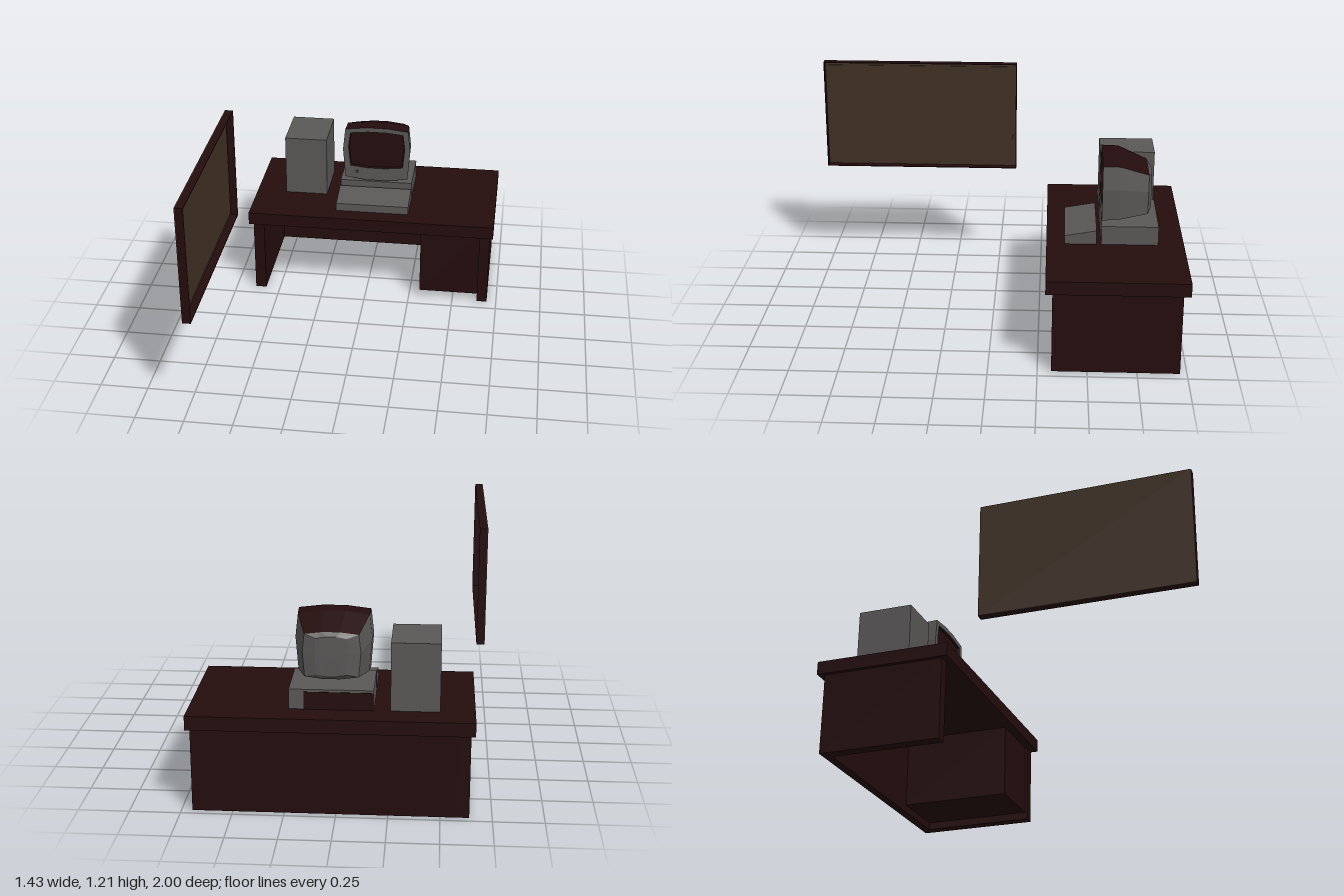
import * as THREE from 'three';

const mat = (name, color) => {
  const m = new THREE.MeshStandardMaterial({ color });
  m.name = name;
  return m;
};

export function createModel() {
  const root = new THREE.Group();
  const wood = mat('dark red wood', 0x240c0d);
  const grey = mat('computer grey', 0x5a5857);
  const brown = mat('board brown', 0x3f3024);

  const group = (name) => {
    const g = new THREE.Group();
    g.name = name;
    root.add(g);
    return g;
  };
  const add = (parent, name, geo, material) => {
    const m = new THREE.Mesh(geo, material);
    m.name = name;
    parent.add(m);
    return m;
  };
  // Box given by its extents on each axis
  const box = (parent, name, material, [x0, x1], [y0, y1], [z0, z1]) => {
    const m = add(parent, name, new THREE.BoxGeometry(x1 - x0, y1 - y0, z1 - z0), material);
    m.position.set((x0 + x1) / 2, (y0 + y1) / 2, (z0 + z1) / 2);
    return m;
  };

  // Desk: top, side panels, back panel and raised drawer pedestal
  const desk = group('desk');
  box(desk, 'deskTop', wood, [-0.66, 0.715], [0.43, 0.5], [-1, -0.285]);
  box(desk, 'rightSidePanel', wood, [-0.64, -0.58], [0, 0.43], [-0.965, -0.32]);
  box(desk, 'leftSidePanel', wood, [0.64, 0.697], [0, 0.43], [-0.965, -0.32]);
  box(desk, 'backPanel', wood, [-0.58, 0.64], [0, 0.43], [-0.965, -0.92]);
  box(desk, 'drawerPedestal', wood, [0.31, 0.64], [0.04, 0.43], [-0.92, -0.335]);

  // Wall board: brown panel inside a thin dark surround
  const board = group('wallBoard');
  const by = [0.586, 1.21], bz = [-0.1, 1], bx = [-0.72, -0.677], t = 0.005;
  box(board, 'boardPanel', brown, [bx[0], bx[0] + 0.004], by, bz);
  box(board, 'boardInset', brown, [bx[0] + 0.004, bx[0] + 0.008],
    [by[0] + 0.025, by[1] - 0.025], [bz[0] + 0.022, bz[1] - 0.022]);
  for (const y of [by[0], by[1] - t]) box(board, 'boardRail', wood, bx, [y, y + t], bz);
  for (const z of [bz[0], bz[1] - t]) box(board, 'boardStile', wood, bx, by, [z, z + t]);

  // Tower and desktop case
  box(root, 'tower', grey, [-0.492, -0.255], [0.5, 0.842], [-0.865, -0.57]);
  const unit = group('desktopCase');
  box(unit, 'caseBody', grey, [-0.175, 0.232], [0.5, 0.6], [-0.865, -0.57]);
  box(unit, 'caseBackPlate', wood, [-0.174, 0.16], [0.5, 0.588], [-0.868, -0.865]);

  // Keyboard: wedge extruded across x
  const wedge = new THREE.Shape([[0.38, 0.5], [0.545, 0.5], [0.545, 0.575], [0.38, 0.545]]
    .map(([x, y]) => new THREE.Vector2(x, y)));
  const keyGeo = new THREE.ExtrudeGeometry(wedge, { depth: 0.407, bevelEnabled: false });
  keyGeo.rotateY(Math.PI / 2);
  keyGeo.translate(-0.175, 0, 0);
  add(root, 'keyboard', keyGeo, grey);

  // Monitor cross-section: bowed rectangle, clockwise from the front
  const outline = [[-0.3, 1], [0.3, 1], [0.93, 0.91], [1, 0.15], [0.93, -0.9],
    [0.3, -1], [-0.3, -1], [-0.93, -0.9], [-1, 0.15], [-0.93, 0.91]];
  const ring = (cy, hw, hh, z) => outline.map(([u, v]) => new THREE.Vector3(0.03 + u * hw, cy + v * hh, z));
  // Skin between neighbouring rings, limited to the chosen sides of the outline
  const skin = (rings, sides) => {
    const pos = [];
    for (let r = 0; r < rings.length - 1; r++) {
      for (const i of sides) {
        const j = (i + 1) % outline.length;
        const [a, b, c, d] = [rings[r][i], rings[r][j], rings[r + 1][j], rings[r + 1][i]];
        for (const p of [a, b, c, a, c, d]) pos.push(p.x, p.y, p.z);
      }
    }
    const g = new THREE.BufferGeometry();
    g.setAttribute('position', new THREE.Float32BufferAttribute(pos, 3));
    g.computeVertexNormals();
    return g;
  };
  const all = outline.map((_, i) => i);
  const flats = [9, 0, 1, 4, 5, 6], sides = [2, 3, 7, 8];

  const monitor = group('monitor');
  const front = ring(0.77, 0.191, 0.163, -0.57);
  const back = ring(0.7525, 0.14, 0.118, -0.81);
  const shell = [front, ring(0.772, 0.187, 0.159, -0.66), back];
  add(monitor, 'monitorTopAndBottom', skin(shell, flats), wood);
  add(monitor, 'monitorSides', skin(shell, sides), grey);
  add(monitor, 'monitorBack', skin([back, ring(0.7525, 0.08, 0.1, -0.828),
    ring(0.7525, 0, 0, -0.83)], all), grey);

  // Bezel with a recessed screen
  const hole = ring(0.795, 0.16, 0.112, -0.57);
  const deep = ring(0.795, 0.157, 0.109, -0.585);
  const flat = (pts) => pts.map((p) => new THREE.Vector2(p.x, p.y));
  const bezel = new THREE.Shape(flat(front));
  bezel.holes.push(new THREE.Path(flat(hole)));
  add(monitor, 'bezel', new THREE.ShapeGeometry(bezel), grey).position.z = -0.57;
  add(monitor, 'screenRim', skin([deep, hole], all), wood);
  add(monitor, 'screen', new THREE.ShapeGeometry(new THREE.Shape(flat(deep))), wood).position.z = -0.585;
  box(monitor, 'powerButton', brown, [-0.09, -0.072], [0.648, 0.666], [-0.57, -0.566]);

  return root;
}
